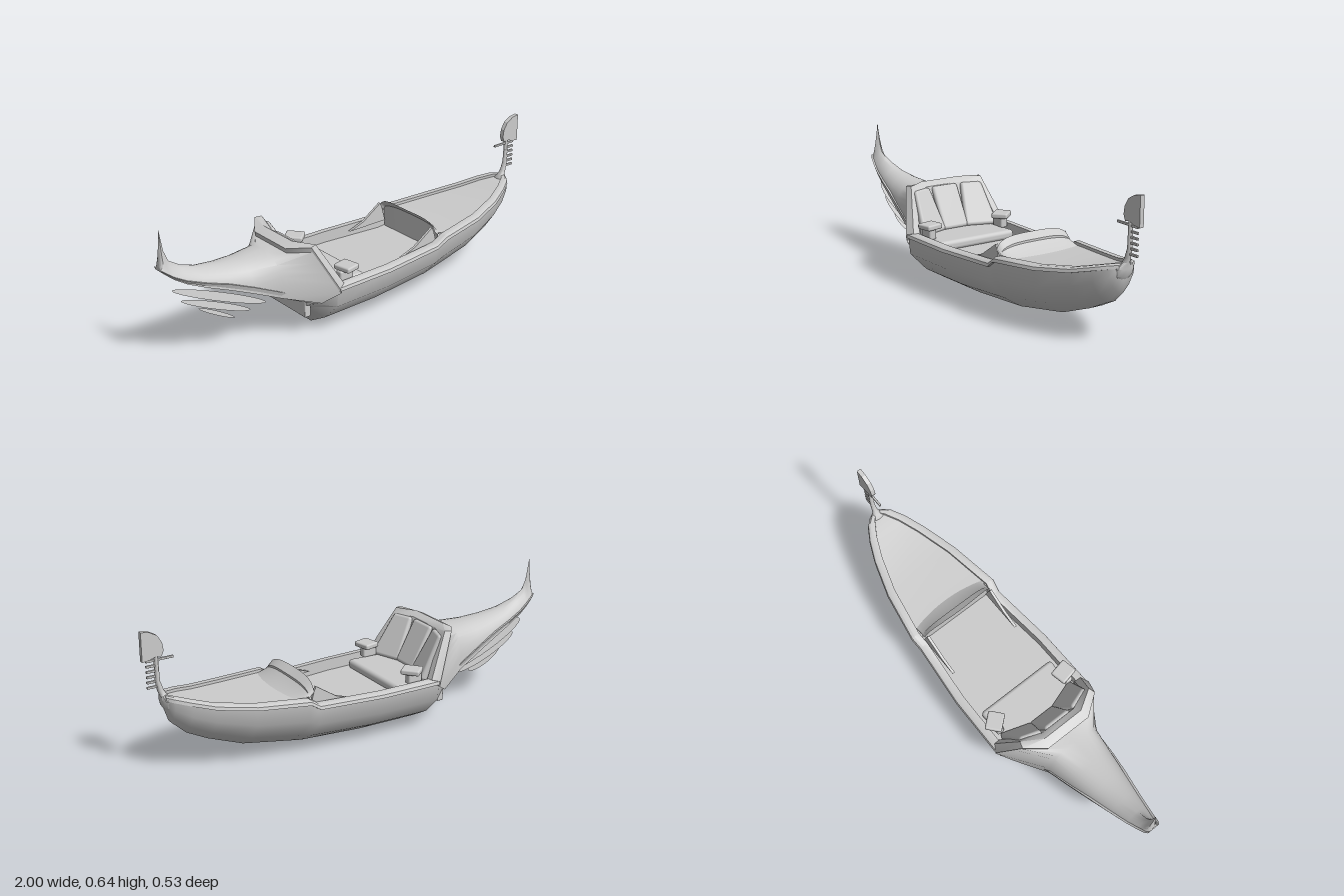
import * as THREE from 'three';
import { toCreasedNormals } from 'three/addons/utils/BufferGeometryUtils.js';
import { RoundedBoxGeometry } from 'three/addons/geometries/RoundedBoxGeometry.js';

const mat = new THREE.MeshStandardMaterial({ color: 0xcccccc, side: THREE.DoubleSide });

// Skin a row of cross-sections, each a list of [x, y, z] points
function loft(sections, { closed = false, capStart = false, capEnd = false, crease = 0.7 } = {}) {
  const pos = [], idx = [], n = sections[0].length;
  sections.forEach(s => s.forEach(p => pos.push(...p)));
  for (let i = 0; i < sections.length - 1; i++) {
    for (let j = 0; j < (closed ? n : n - 1); j++) {
      const a = i * n + j, b = i * n + (j + 1) % n;
      idx.push(a, b, a + n, b, b + n, a + n);
    }
  }
  const cap = (row, flip) => {
    const c = pos.length / 3;
    for (let k = 0; k < 3; k++) pos.push(sections[row].reduce((t, p) => t + p[k], 0) / n);
    for (let j = 0; j < n; j++) {
      const a = row * n + j, b = row * n + (j + 1) % n;
      flip ? idx.push(c, b, a) : idx.push(c, a, b);
    }
  };
  if (capStart) cap(0, true);
  if (capEnd) cap(sections.length - 1, false);
  const g = new THREE.BufferGeometry();
  g.setAttribute('position', new THREE.Float32BufferAttribute(pos, 3));
  g.setIndex(idx);
  return toCreasedNormals(g, crease);
}

// Flat outline in the x-y plane, given thickness across z
function plate(points, thickness, z = 0) {
  const shape = new THREE.Shape(points.map(p => new THREE.Vector2(...p)));
  const g = new THREE.ExtrudeGeometry(shape, { depth: thickness, bevelEnabled: false });
  return g.translate(0, 0, z - thickness / 2);
}

export function createModel() {
  const model = new THREE.Group();
  const add = (name, geometry, parent = model) => {
    const m = new THREE.Mesh(geometry, mat);
    m.name = name;
    parent.add(m);
    return m;
  };
  const mirrorZ = pts => pts.map(([x, y, z]) => [x, y, -z]);
  const box = (w, h, d, r = 0.008) => new RoundedBoxGeometry(w, h, d, 2, r);
  const solid = { closed: true, capStart: true, capEnd: true };

  // Hull stations: x, half width, keel height, gunwale height
  const hull = [
    [-0.385, 0.165, 0.085, 0.19], [-0.36, 0.2, 0.085, 0.21], [-0.29, 0.263, 0, 0.24],
    [0, 0.258, 0.003, 0.24], [0.3, 0.228, 0.02, 0.245], [0.35, 0.235, 0.03, 0.278],
    [0.58, 0.195, 0.07, 0.293], [0.74, 0.145, 0.13, 0.315], [0.83, 0.105, 0.175, 0.338],
    [0.89, 0.068, 0.23, 0.353], [0.915, 0.038, 0.3, 0.356]
  ];
  const profile = [[0.955, 1], [0.92, 0.62], [0.6, 0.25], [0.22, 0]];
  add('hull', loft(hull.map(([x, w, k, t]) => {
    const half = profile.map(([f, h]) => [x, k + (t - 0.01 - k) * h, w * f]);
    return [...half, ...mirrorZ(half).reverse()];
  }), { capStart: true, capEnd: true, crease: 1 }));

  // Gunwale lip on each side
  for (const s of [1, -1]) {
    add(s > 0 ? 'rightGunwale' : 'leftGunwale', loft(hull.slice(2).map(([x, w, , t]) => {
      const inner = Math.max(0, w - 0.042);
      return [[x, t - 0.018, s * w], [x, t - 0.004, s * (w - 0.004)], [x, t + 0.003, s * (w - 0.016)],
        [x, t + 0.003, s * inner], [x, t - 0.025, s * inner]];
    }), solid));
  }

  // Strips spanning the inside of the hull
  const span = (rows, drop) => loft(rows.map(([x, w, , t]) => {
    const z = Math.max(0.002, w - 0.03);
    return [[x, t - drop, z], [x, t - drop, -z]];
  }));
  add('foreDeck', span(hull.slice(5), 0.01));
  add('cockpitFloor', span(hull.slice(2, 6).map(([x, w]) => [x, w, 0, 0.19]), 0));
  for (const s of [1, -1]) {
    add('cockpitWall', loft(hull.slice(2, 6).map(([x, w, , t]) =>
      [[x, t, s * (w - 0.042)], [x, 0.19, s * (w - 0.042)]])));
  }

  // Flat-topped arched cowl ahead of the cockpit, with side wings
  const cowl = [];
  for (let i = 0; i <= 20; i++) {
    const u = Math.sin((i / 10 - 1) * Math.PI / 2), z = u * 0.186;
    const y = 0.295 + 0.05 * Math.sqrt(Math.max(0, 1 - u ** 4));
    cowl.push([[0.34, 0.19, z], [0.335, y - 0.025, z], [0.3 + 0.012 * u * u, y, z],
      [0.345 - 0.01 * u * u, 0.27 + (y - 0.27) * 0.42, z], [0.41 - 0.03 * u * u, 0.27, z]]);
  }
  add('cowl', loft(cowl));
  for (const s of [1, -1]) {
    add('cowlWing', plate([[0.12, 0.225], [0.33, 0.225], [0.31, 0.295], [0.3, 0.318], [0.2, 0.252]], 0.012, s * 0.178));
  }

  // Seat surround: a chamfered band rising from the gunwales and wrapping the seat.
  // o, i, f: outer edge, inner edge, foot of the inner chamfer
  const bandHalf = [
    { o: [-0.29, 0.235, 0.264], i: [-0.255, 0.245, 0.245], f: [-0.25, 0.235, 0.215] },
    { o: [-0.39, 0.433, 0.2], i: [-0.36, 0.435, 0.19], f: [-0.352, 0.413, 0.168] },
    { o: [-0.455, 0.415, 0.11], i: [-0.415, 0.435, 0.1], f: [-0.385, 0.415, 0.085] }
  ];
  const flip = b => Object.fromEntries(Object.entries(b).map(([k, p]) => [k, mirrorZ([p])[0]]));
  const band = [...bandHalf, ...bandHalf.map(flip).reverse()];
  const under = ([x, y, z]) => [x + 0.005, y - 0.022, z];
  add('seatSurround', loft(band.map(({ o, i, f }) => [o, i, f, under(o)]), solid));
  add('seatShell', loft(band.map(({ f }, k) => {
    const mid = k === 2 || k === 3;
    return [f, [mid ? -0.3 : -0.255, 0.19, Math.sign(f[2]) * (mid ? 0.1 : 0.215)]];
  })));

  // Seat: base cushion and three back cushions, the outer two spreading at the foot
  const base = box(0.21, 0.045, 0.4, 0.018);
  const bp = base.attributes.position;
  for (let i = 0; i < bp.count; i++) {
    if (bp.getX(i) < 0) bp.setZ(i, bp.getZ(i) * 0.9);
  }
  add('seatCushion', base).position.set(-0.205, 0.208, 0);
  for (const s of [-1, 0, 1]) {
    const pad = new THREE.Group();
    pad.name = 'backCushion';
    pad.position.set(s ? -0.322 : -0.338, 0.318, s * 0.12);
    pad.rotation.y = s * 0.32;
    const g = box(0.035, 0.21, s ? 0.1 : 0.134, 0.014);
    const p = g.attributes.position;
    for (let i = 0; i < p.count; i++) {
      if (p.getZ(i) * s > 0) p.setZ(i, p.getZ(i) + s * 0.26 * (0.105 - p.getY(i)));
    }
    add('backCushionPad', g, pad).rotation.z = 0.5;
    model.add(pad);
  }

  // Armrest pads on low supports
  for (const [x, z, turn] of [[-0.187, -0.188, 0.7], [-0.198, 0.192, 0.2]]) {
    const rest = add('armrest', box(0.075, 0.025, 0.085));
    rest.position.set(x, 0.286, z);
    rest.rotation.y = turn;
    add('armrestSupport', box(0.07, 0.05, 0.035)).position.set(x - 0.01, 0.252, z);
  }

  // Tail stations: x, half width, lower edge, top, squareness of the arch
  const tail = [
    [-0.5, 0.135, 0.209, 0.389, 3], [-0.62, 0.115, 0.262, 0.388, 2.3], [-0.72, 0.095, 0.302, 0.395, 2],
    [-0.82, 0.073, 0.338, 0.41, 1.8], [-0.9, 0.055, 0.372, 0.44, 1.5], [-0.95, 0.043, 0.402, 0.472, 1.1],
    [-0.97, 0.038, 0.418, 0.52, 0.9], [-0.986, 0.034, 0.432, 0.615, 0.8], [-0.998, 0.026, 0.442, 0.49, 0.9]
  ];
  // The tail begins along the outer edge of the seat surround
  const lerp = (a, b, t) => a.map((v, k) => v + (b[k] - v) * t);
  const [a, b, c] = bandHalf.map(({ o }) => under(o));
  const rootHalf = [[-0.35, 0.168, 0.215], a, ...[0.25, 0.5, 0.75].map(t => lerp(a, b, t)), b, lerp(b, c, 0.5), c];
  const root = [...rootHalf, [c[0], c[1], 0], ...mirrorZ(rootHalf).reverse()];
  add('tail', loft([root, ...tail.map(([x, w, low, top, n]) => root.map((_, i) => {
    const ang = Math.PI * i / 16, cos = Math.cos(ang), p = 2 / n;
    return [x, low + (top - low) * Math.abs(Math.sin(ang)) ** p, w * Math.sign(cos) * Math.abs(cos) ** p];
  }))], { closed: true, capEnd: true, crease: 0.9 }));

  // Undercut rail along each lower edge of the tail, thinning toward the tip
  for (const s of [1, -1]) {
    add('tailRail', loft([[-0.36, 0.2, 0.16], [-0.43, 0.155, 0.18], ...tail].map(([x, w, low]) => {
      const h = 0.03 - 0.022 * Math.max(0, (-x - 0.7) / 0.3);
      return [[x, low, s * (w - 0.004)], [x, low + h, s * (w + 0.005)],
        [x, low + h, s * (w - 0.012)], [x, low, s * (w - 0.014)]];
    }), solid));
  }
  add('sternLip', box(0.03, 0.08, 0.3, 0.004)).position.set(-0.375, 0.125, 0);

  // Three thin floating vanes beneath the tail: both ends and half width
  for (const [x0, y0, x1, y1, w] of [
    [-0.94, 0.33, -0.49, 0.14, 0.065], [-0.9, 0.27, -0.57, 0.13, 0.052], [-0.82, 0.21, -0.65, 0.12, 0.038]
  ]) {
    const vane = add('tailVane', new THREE.CircleGeometry(1, 28).rotateX(-Math.PI / 2));
    vane.scale.set(Math.hypot(x1 - x0, y1 - y0) / 2, 1, w);
    vane.rotation.z = Math.atan2(y1 - y0, x1 - x0);
    vane.position.set((x0 + x1) / 2, (y0 + y1) / 2, 0);
  }

  // Prow stem: x, y, half depth, half width
  const stem = [
    [0.893, 0.28, 0.012, 0.022], [0.9, 0.305, 0.022, 0.042], [0.905, 0.335, 0.024, 0.046],
    [0.915, 0.36, 0.016, 0.016], [0.925, 0.38, 0.014, 0.012], [0.935, 0.42, 0.011, 0.01], [0.937, 0.53, 0.009, 0.009]
  ];
  add('prowStem', loft(stem.map(([x, y, d, w]) => Array.from({ length: 12 }, (_, i) => {
    const t = i * Math.PI / 6;
    return [x + d * Math.cos(t), y, w * Math.sin(t)];
  })), solid));

  // Prow blade and comb of teeth
  add('prowBlade', plate([[1, 0.515], [1, 0.643], [0.965, 0.638], [0.93, 0.618],
    [0.91, 0.585], [0.905, 0.55], [0.915, 0.525], [0.94, 0.53], [0.965, 0.52]], 0.02));
  for (let i = 0; i < 6; i++) {
    add('prowTooth', box(0.045, 0.01, 0.01, 0.002)).position.set(0.96, 0.398 + i * 0.0228, 0);
  }
  add('rearTooth', box(0.07, 0.01, 0.01, 0.002)).position.set(0.895, 0.513, 0);

  return model;
}
